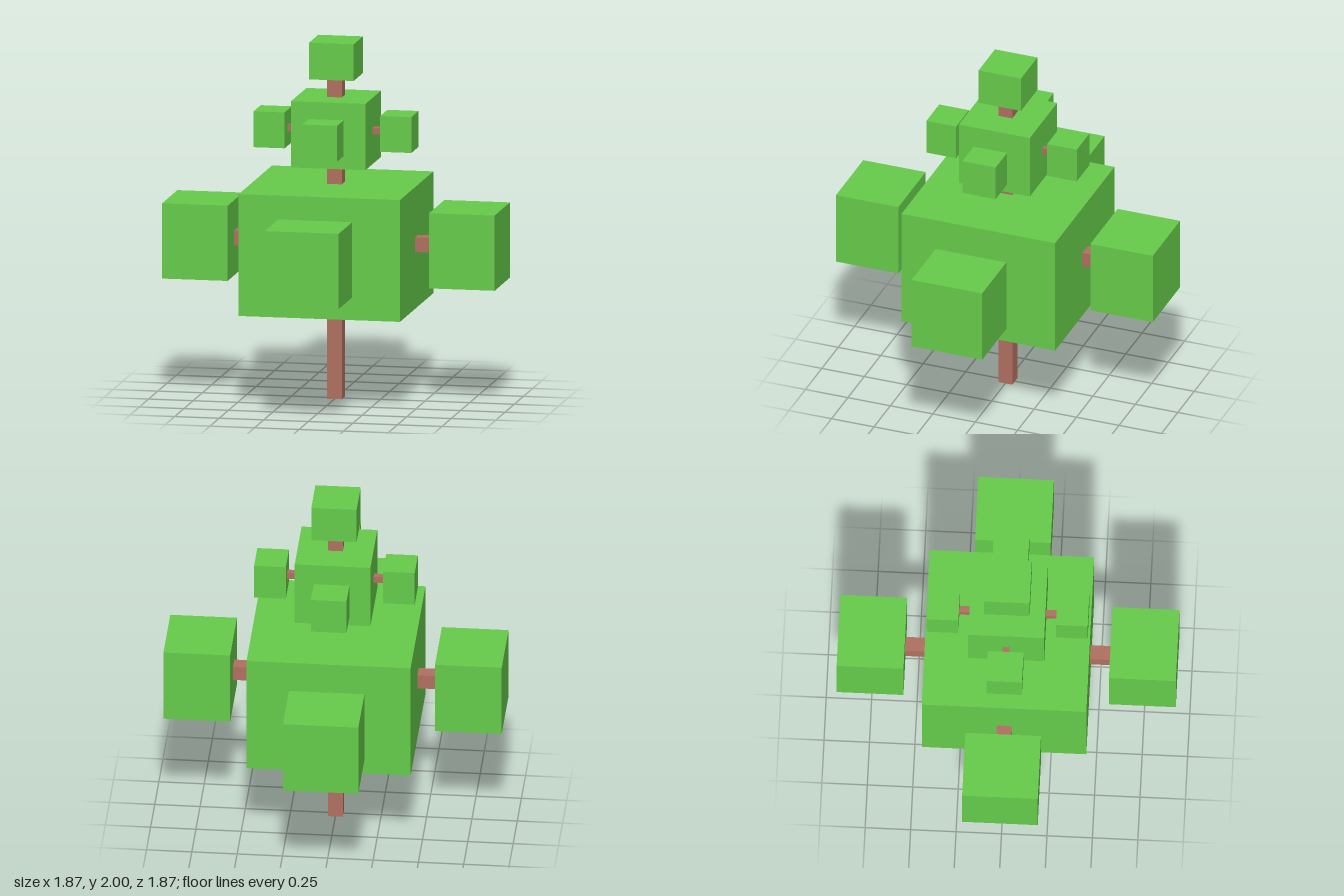
import * as THREE from 'three';

const leaf = new THREE.MeshStandardMaterial({ color: 0x66cc4a });
const bark = new THREE.MeshStandardMaterial({ color: 0xb07060 });

// Box of size [w, h, d] whose underside sits at y, centred on x, z
function addBox(parent, name, material, [w, h, d], y, x = 0, z = 0) {
  const mesh = new THREE.Mesh(new THREE.BoxGeometry(w, h, d), material);
  mesh.name = name;
  mesh.position.set(x, y + h / 2, z);
  parent.add(mesh);
}

// Four arms around the trunk, each a branch ending in a leaf block
function addArms(parent, name, y, inner, outer, blockHeight, blockWidth, start, thick) {
  for (let i = 0; i < 4; i++) {
    const arm = new THREE.Group();
    arm.name = name;
    arm.rotation.y = i * Math.PI / 2;
    addBox(arm, 'branch', bark, [inner - start + 0.02, thick, thick], y - thick / 2, (inner + start) / 2);
    addBox(arm, 'branchLeaves', leaf, [outer - inner, blockHeight, blockWidth], y - blockHeight / 2, (inner + outer) / 2);
    parent.add(arm);
  }
}

export function createModel() {
  const tree = new THREE.Group();
  tree.name = 'tree';

  // Trunk, hidden inside the leaf blocks where it passes through
  addBox(tree, 'trunk', bark, [0.082, 1.82, 0.082], 0);

  // Leaf blocks stacked along the trunk
  addBox(tree, 'lowerLeaves', leaf, [0.905, 0.68, 0.905], 0.52);
  addBox(tree, 'upperLeaves', leaf, [0.418, 0.37, 0.418], 1.315);
  addBox(tree, 'topLeaves', leaf, [0.25, 0.205, 0.25], 1.795);

  // Side branches
  addArms(tree, 'lowerArm', 0.878, 0.565, 0.933, 0.42, 0.416, 0.44, 0.082);
  addArms(tree, 'upperArm', 1.5, 0.268, 0.443, 0.2, 0.196, 0.2, 0.037);

  return tree;
}
